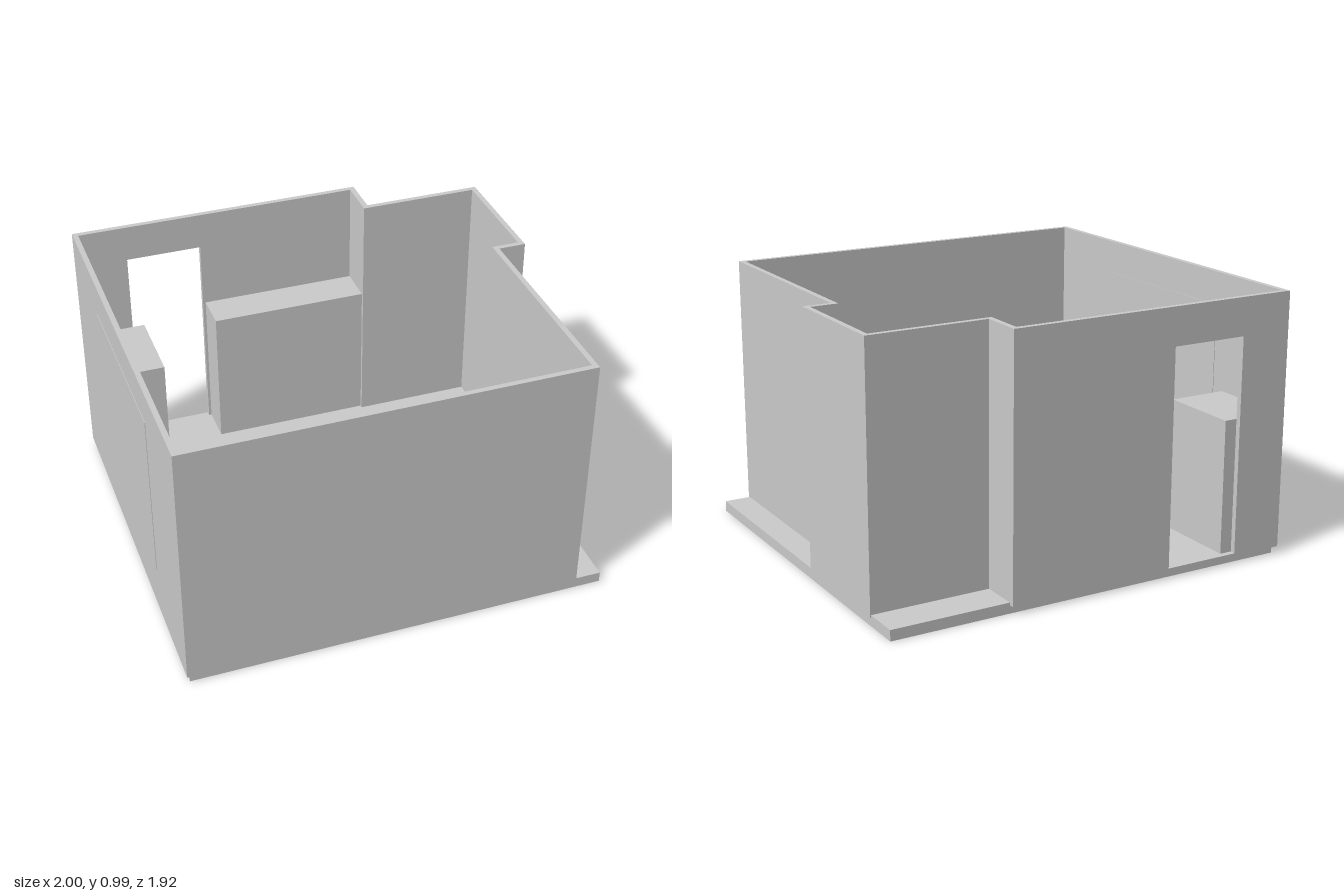
import * as THREE from 'three';

const material = new THREE.MeshStandardMaterial({ color: 0xcccccc, flatShading: true });

// Box given by its limits along each axis
function block(name, x0, x1, y0, y1, z0, z1) {
  const mesh = new THREE.Mesh(new THREE.BoxGeometry(x1 - x0, y1 - y0, z1 - z0), material);
  mesh.position.set((x0 + x1) / 2, (y0 + y1) / 2, (z0 + z1) / 2);
  mesh.name = name;
  return mesh;
}

export function createModel() {
  const model = new THREE.Group();
  model.name = 'room';
  const room = new THREE.Group();
  room.name = 'rotatedRoom';
  room.rotation.y = THREE.MathUtils.degToRad(22.05);
  model.add(room);

  // Floor slab
  room.add(block('floor', -0.772, 0.791, 0, 0.04, -0.717, 0.709));

  // Plain walls, in plan: x0, x1, z0, z1
  const bottom = 0.03, top = 0.985;
  const walls = {
    leftSideWall: [-0.783, -0.763, -0.737, 0.718],
    frontWall: [-0.763, 0.69, 0.698, 0.718],
    recessedSideWall: [0.67, 0.69, -0.106, 0.698],
    recessReturnWall: [0.67, 0.794, -0.126, -0.106],
    outerSideWall: [0.774, 0.794, -0.578, -0.126],
    backNotchWall: [0.322, 0.774, -0.578, -0.558],
    backNotchReturnWall: [0.322, 0.343, -0.737, -0.578],
  };
  for (const [name, [x0, x1, z0, z1]] of Object.entries(walls)) {
    room.add(block(name, x0, x1, bottom, top, z0, z1));
  }

  // Back wall with a doorway
  const outline = new THREE.Shape([
    [-0.763, bottom], [0.322, bottom], [0.322, top], [-0.763, top],
  ].map(([x, y]) => new THREE.Vector2(x, y)));
  outline.holes.push(new THREE.Path([
    [-0.585, 0.04], [-0.585, 0.845], [-0.295, 0.845], [-0.295, 0.04],
  ].map(([x, y]) => new THREE.Vector2(x, y))));
  const backWall = new THREE.Mesh(
    new THREE.ExtrudeGeometry(outline, { depth: 0.02, bevelEnabled: false }), material);
  backWall.position.z = -0.737;
  backWall.name = 'backWall';
  room.add(backWall);

  // Thin window panel, showing on both faces of the side wall
  room.add(block('windowPanel', -0.785, -0.761, 0.213, 0.86, -0.35, 0.35));

  // Solid furniture
  const base = 0.035;
  room.add(
    block('bed', -0.309, 0.264, base, 0.333, -0.13, 0.698),
    block('cornerCabinet', -0.763, -0.539, base, 0.54, -0.715, -0.402),
    block('counter', -0.285, 0.322, base, 0.59, -0.717, -0.571),
    block('nightstand', 0.264, 0.49, base, 0.25, 0.493, 0.698),
    block('desk', -0.763, -0.325, base, 0.3, 0.462, 0.698),
  );

  // Chair, turned slightly against the room
  const chair = block('chair', -0.114, 0.114, base, 0.39, -0.126, 0.126);
  chair.position.x = -0.534;
  chair.position.z = 0.335;
  chair.rotation.y = THREE.MathUtils.degToRad(10);
  room.add(chair);

  return model;
}
